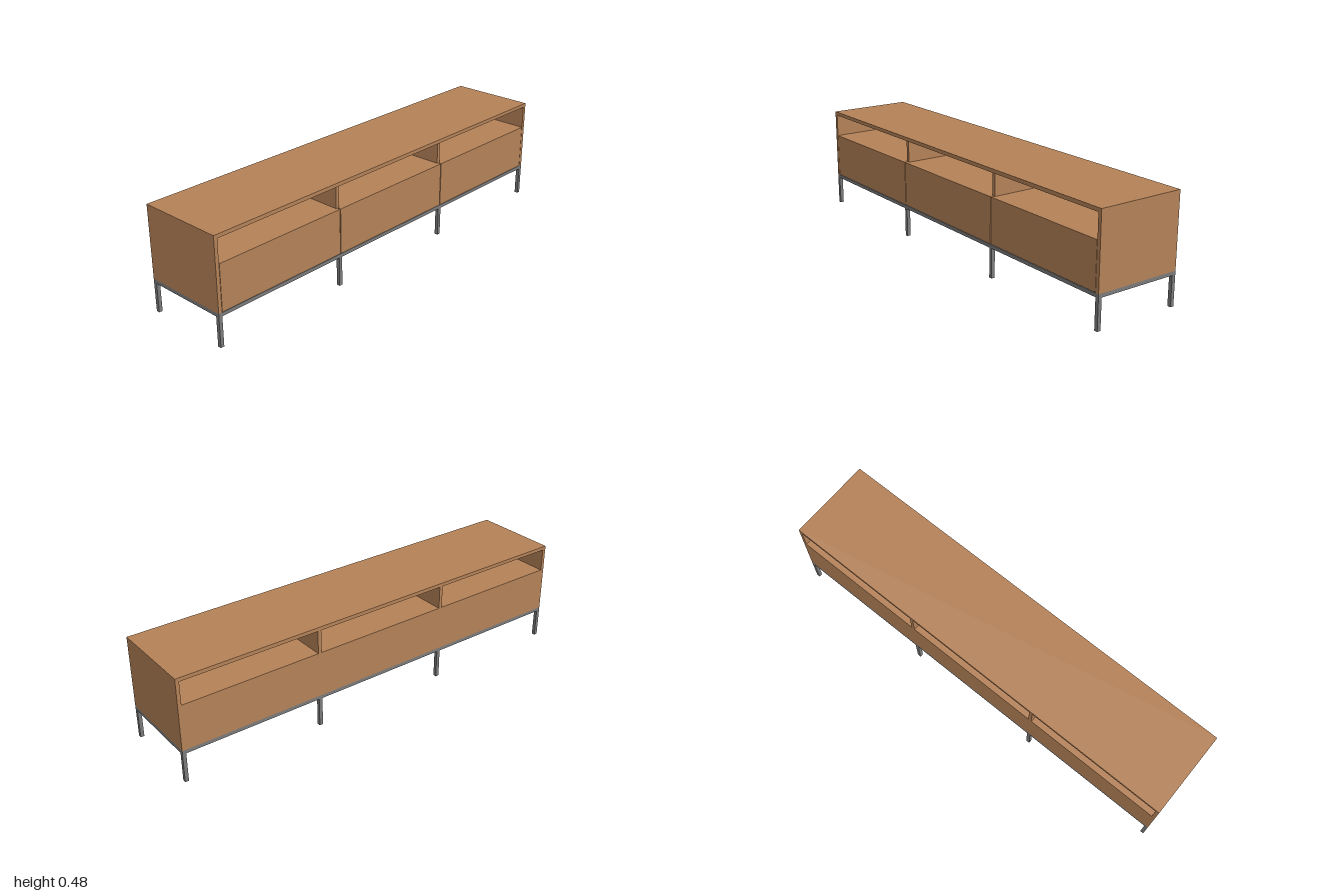
import * as THREE from 'three';

export function createModel() {
  const model = new THREE.Group();
  model.name = 'lowSideboard';
  const wood = new THREE.MeshStandardMaterial({ color: 0xb48157 });
  wood.name = 'wood';
  const metal = new THREE.MeshStandardMaterial({ color: 0x7a7a7a });
  metal.name = 'grey metal';

  // Box given by its lower and upper limits on each axis
  function box(name, material, [x0, x1], [y0, y1], [z0, z1]) {
    const mesh = new THREE.Mesh(new THREE.BoxGeometry(x1 - x0, y1 - y0, z1 - z0), material);
    mesh.position.set((x0 + x1) / 2, (y0 + y1) / 2, (z0 + z1) / 2);
    mesh.name = name;
    model.add(mesh);
  }

  const D = 0.2025;      // half depth
  const T = 0.0165;      // board and leg thickness
  const frameTop = 0.151;
  const shelfTop = 0.36;
  const topBase = 0.466;
  const inner = 1 - T;
  const bay = 1 / 3;     // divider position

  // Metal base with four pairs of legs
  box('baseFrame', metal, [-1, 1], [frameTop - T, frameTop], [-D, D]);
  for (const x of [-1 + T / 2, -bay, bay, 1 - T / 2]) {
    for (const s of [-1, 1]) {
      const z = s * (D - T / 2);
      box('leg', metal, [x - T / 2, x + T / 2], [0, frameTop - T], [z - T / 2, z + T / 2]);
    }
  }

  // Cabinet shell, open above the shelf at front and back
  box('topBoard', wood, [-1, 1], [topBase, 0.483], [-D, D]);
  box('rightSide', wood, [-1, -inner], [frameTop, topBase], [-D, D]);
  box('leftSide', wood, [inner, 1], [frameTop, topBase], [-D, D]);
  box('bottomBoard', wood, [-inner, inner], [frameTop, frameTop + T], [-D + T, D - T]);
  box('backPanel', wood, [-inner, inner], [frameTop, shelfTop], [-D, -D + T]);
  box('shelf', wood, [-inner, inner], [shelfTop - T, shelfTop], [-D + T, D - T]);

  // Dividers: full depth in the open niche, behind the back panel below
  for (const x of [-bay, bay]) {
    const span = [x - T / 2, x + T / 2];
    box('nicheDivider', wood, span, [shelfTop, topBase], [-D, D - T]);
    box('lowerDivider', wood, span, [frameTop + T, shelfTop - T], [-D + T, D - T]);
  }

  // Three drawer fronts with narrow gaps
  const gap = 0.002;
  const edges = [-inner, -bay, bay, inner];
  for (let i = 0; i < 3; i++) {
    box('drawerFront', wood, [edges[i] + gap, edges[i + 1] - gap],
      [frameTop + gap, shelfTop], [D - T, D]);
  }
  return model;
}
